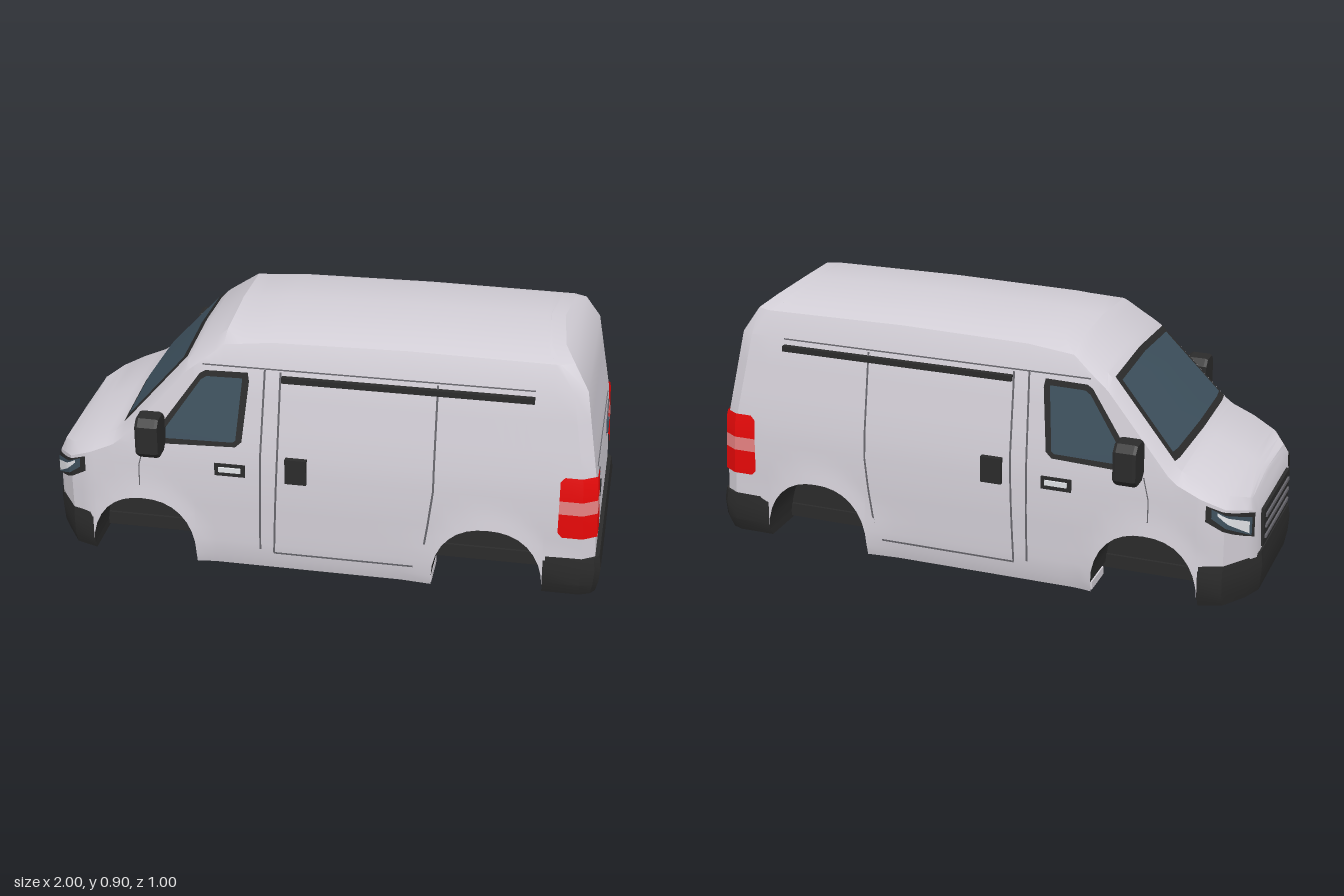
import * as THREE from 'three';
import { mergeGeometries, toCreasedNormals } from 'three/addons/utils/BufferGeometryUtils.js';

const mat = (name, color) => new THREE.MeshStandardMaterial({ name, color, side: THREE.DoubleSide });

// Piecewise-linear curve through [input, output] pairs
const curve = (pts) => (t) => {
  if (t <= pts[0][0]) return pts[0][1];
  for (let i = 1; i < pts.length; i++) {
    const [a, b] = pts[i - 1], [c, d] = pts[i];
    if (t <= c) return b + (d - b) * (t - a) / (c - a);
  }
  return pts[pts.length - 1][1];
};
const clamp = THREE.MathUtils.clamp, lerp = THREE.MathUtils.lerp;

// Body rules: half width by height, roof line, nose and tail outlines, nose taper
const halfWidth = curve([[0, .385], [.04, .396], [.1, .4], [.28, .402], [.38, .398], [.46, .392], [.77, .335], [.86, .3]]);
const roofLine = curve([[-1, .37], [-.955, .395], [-.72, .5], [-.47, .78], [-.34, .88], [-.17, .897], [.3, .905], [.8, .9]]);
const noseX = curve([[.17, -.988], [.32, -.98], [.385, -.955], [.42, -.9], [.5, -1]]);
const tailX = curve([[0, .985], [.17, .978], [.46, .965], [.77, .915], [.86, .86], [.905, .8]]);
const taper = curve([[-1, .5], [-.97, .68], [-.9, .93], [-.82, 1]]);
const crownWidth = curve([[-.47, .86], [-.2, .73]]);
const arches = [{ x: -.63, r: .19 }, { x: .605, r: .195 }];
const archY = (u) => .04 + .21 * Math.pow(Math.max(0, 1 - Math.abs(u) ** 2.3), 1 / 2.1);

// Surface from rows of [x, y, z] points
function grid(rows) {
  const n = rows[0].length, index = [];
  for (let i = 0; i < rows.length - 1; i++) for (let j = 0; j < n - 1; j++) {
    const a = i * n + j, b = a + n;
    index.push(a, b, a + 1, b, b + 1, a + 1);
  }
  const g = new THREE.BufferGeometry();
  g.setAttribute('position', new THREE.Float32BufferAttribute(rows.flat(2), 3));
  g.setIndex(index);
  return toCreasedNormals(g, .45);
}
const flip = ([x, y, z]) => [x, y, -z];
// Mirrored skin through half sections, closed at both ends
function shell(halves) {
  const skin = grid(halves.map((h) => [...h, ...h.slice(0, -1).reverse().map(flip)]));
  const caps = [halves[0], halves[halves.length - 1]].map((h) => grid(h.map((p) => [p, flip(p)])));
  return mergeGeometries([skin, ...caps]);
}

export function createModel() {
  const van = new THREE.Group();
  van.name = 'van';
  const paint = mat('bodyPaint', 0xd2ced6), black = mat('blackTrim', 0x2b2b2b), glass = mat('tintedGlass', 0x3d505d);
  const red = mat('redLens', 0xe60808), pale = mat('paleLens', 0xe48080), seam = mat('seamGrey', 0x66656b);
  const lamp = mat('lampSilver', 0xe4e6ea);
  const add = (name, geo, m) => {
    const mesh = new THREE.Mesh(geo, m);
    mesh.name = name;
    van.add(mesh);
    return mesh;
  };
  const box = (name, m, w, h, d, x, y, z) => add(name, new THREE.BoxGeometry(w, h, d), m).position.set(x, y, z);
  const sides = [['left', 1], ['right', -1]];

  // Body skin
  const levels = [0, .04, .1, .15, .2, .24, .28, .33, .38, .46, .56, .66, .77, .86];
  const section = (s, low, tail = null, narrow = 1) => {
    const top = roofLine(s), shoulder = top - .045, k = taper(s) * narrow;
    const place = (y, z) => [tail !== null ? tailX(y) - tail : Math.min(Math.max(s, s < -.85 ? noseX(y) : s), tailX(y) - .05), y, z];
    const half = levels.map((l) => {
      const y = Math.max(low, Math.min(l, shoulder));
      let flare = 0;
      for (const a of arches) {
        const d = Math.hypot((s - a.x) / a.r, (y - .04) / .21);
        flare = Math.max(flare, .01 * clamp(1 - (d - 1) / .3, 0, 1));
      }
      return place(y, (halfWidth(y) + (tail === null ? flare : 0)) * k);
    });
    const w = halfWidth(shoulder) * k;
    half.push(place(top - .015, w * crownWidth(s)), place(top, 0));
    return half;
  };
  const stations = [];
  for (const s of [-1, -.985, -.97, -.955, -.93, -.9, -.86, -.82]) stations.push(section(s, .15));
  const addArch = (a) => {
    for (let i = 0; i <= 16; i++) {
      const u = -Math.cos(Math.PI * i / 16);
      stations.push(section(a.x + u * a.r, archY(u)));
    }
  };
  addArch(arches[0]);
  for (const s of [-.44, -.4, -.37, -.34, -.28, -.22, -.17, 0, .2, .3, .41]) stations.push(section(s, 0));
  addArch(arches[1]);
  stations.push(section(.8, .15), section(.9, .15, .045), section(.9, .15, 0, .93));
  add('bodyShell', shell(stations), paint);

  // Bumpers
  const bumperHalf = (x, k, bulge) => {
    const w = (y) => (halfWidth(y) + .008) * k;
    return [[x + bulge * .6, .01, 0], [x + bulge * .6, .01, w(.01) - .012], [x + bulge * .2, .06, w(.06)],
      [x, .12, w(.12)], [x + bulge * .3, .166, w(.166) - .004], [x + bulge * .3, .168, 0]];
  };
  add('frontBumper', shell([-1, -.97, -.9, -.82].map((s) => bumperHalf(s, taper(s) * (s < -.95 ? 1.04 : 1), s < -.95 ? .02 : 0))), black);
  add('rearBumper', shell([[.8, 1, 0], [.93, 1, 0], [.98, .96, -.02], [1, .9, -.025]].map((p) => bumperHalf(...p))), black);

  // Floor and sills
  box('floor', black, 1.75, .05, .46, 0, .045, 0);
  box('middleFloor', black, .85, .04, .74, -.015, .06, 0);
  for (const [side, k] of sides) box(side + 'Sill', paint, .85, .03, .13, -.015, .016, k * .317);

  // Wheel wells
  for (const [side, k] of sides) arches.forEach((a, i) => {
    const rim = [];
    for (let j = 0; j <= 16; j++) {
      const u = -Math.cos(Math.PI * j / 16);
      rim.push([a.x + u * a.r, archY(u)]);
    }
    const name = side + (i ? 'Rear' : 'Front') + 'WheelWell';
    add(name, mergeGeometries([
      grid(rim.map(([x, y]) => [[x, y, k * (halfWidth(y) + .009)], [x, y, k * .22]])),
      grid(rim.map(([x, y]) => [[x, y, k * .22], [x, .02, k * .22]])),
    ]), black);
  });

  // Flat plates following the side wall
  const sidePlate = (name, m, pts, off) => {
    for (const [side, k] of sides) {
      const g = new THREE.ShapeGeometry(new THREE.Shape(pts.map((p) => new THREE.Vector2(...p))));
      const p = g.attributes.position;
      for (let i = 0; i < p.count; i++) p.setZ(i, k * (halfWidth(p.getY(i)) + off));
      g.computeVertexNormals();
      add(side + name, g, m);
    }
  };
  const sideBox = (name, m, x, y, w, h, d) => {
    for (const [side, k] of sides) box(side + name, m, w, h, d, x, y, k * (halfWidth(y) + d / 2 - .008));
  };
  sidePlate('WindowFrame', black, [[-.575, .47], [-.565, .53], [-.42, .735], [-.4, .747], [-.25, .75], [-.245, .72], [-.268, .5], [-.29, .48]], .004);
  sidePlate('WindowGlass', glass, [[-.552, .493], [-.545, .525], [-.415, .715], [-.395, .728], [-.268, .73], [-.289, .505], [-.3, .498]], .008);

  // Door seams as narrow ribbons
  const seamLine = (name, pts, w = .007) => {
    for (const [side, k] of sides) add(side + name, mergeGeometries(pts.slice(1).map((b, i) => {
      const a = pts[i], l = Math.hypot(b[0] - a[0], b[1] - a[1]);
      const nx = -(b[1] - a[1]) / l * w / 2, ny = (b[0] - a[0]) / l * w / 2;
      const at = (x, y) => [x, y, k * (halfWidth(y) + .004)];
      return grid([0, .25, .5, .75, 1].map((t) => {
        const x = lerp(a[0], b[0], t), y = lerp(a[1], b[1], t);
        return [at(x + nx, y + ny), at(x - nx, y - ny)];
      }));
    })), seam);
  };
  seamLine('SlidingDoorSeam', [[-.135, .76], [-.14, .46], [-.155, .07], [.37, .07], [.395, .25], [.41, .38], [.41, .76]]);
  seamLine('FrontDoorSeam', [[-.19, .765], [-.2, .46], [-.205, .08]]);
  seamLine('RoofGutter', [[-.41, .768], [-.16, .768], [.74, .768]], .005);
  seamLine('FenderSeam', [[-.62, .46], [-.64, .38], [-.64, .3]], .004);

  // Slide rail, handles
  sideBox('SlideRail', black, .305, .737, .87, .02, .026);
  sideBox('DoorHandleRecess', black, -.31, .39, .11, .046, .013);
  sideBox('DoorHandleGrip', lamp, -.31, .393, .08, .018, .02);
  sideBox('SlidingDoorHandle', black, -.073, .41, .076, .095, .024);

  // Wing mirrors
  const c = .022;
  const outline = [[.395, .46 + c], [.395 + c, .46], [.495 - c, .46], [.495, .46 + c], [.495, .603 - c], [.495 - c, .603], [.395 + c, .603], [.395, .603 - c]];
  for (const [side, k] of sides) {
    const shape = new THREE.Shape(outline.map(([z, y]) => new THREE.Vector2(-k * z, y)));
    const g = new THREE.ExtrudeGeometry(shape, { depth: .06, bevelEnabled: true, bevelSize: .004, bevelThickness: .01, bevelSegments: 1 });
    g.rotateY(Math.PI / 2).translate(-.61, 0, 0);
    add(side + 'Mirror', g, black);
    box(side + 'MirrorArm', black, .05, .05, .06, -.565, .51, k * .39);
  }

  // Windscreen
  const screen = (x0, x1, w0, w1, off) => grid([0, .25, .5, .75, 1].map((t) => {
    const x = lerp(x0, x1, t), e = lerp(w0, w1, t);
    return [-1, -.85, 0, .85, 1].map((q) => [x - off * .75 + Math.abs(q) ** 3 * (1 - t) * .012,
      roofLine(x + Math.abs(q) ** 3 * (1 - t) * .012) - .015 * Math.abs(q) + off * .67, q * e]);
  }));
  add('windscreenFrame', screen(-.716, -.474, .328, .282, .006), black);
  add('windscreen', screen(-.698, -.49, .305, .264, .011), glass);

  // Headlights wrapped round the nose corners
  for (const [side, k] of sides) [['Surround', black, 0, .006], ['Glass', glass, .013, .01], ['Lamp', lamp, .026, .014]].forEach(([n, m, inset, off]) => {
    add(side + 'Headlight' + n, grid([0, .2, .4, .6, .8, 1].map((t) => {
      const s = lerp(-.975 + inset * .6, -.835 - inset * 1.3, t);
      const low = lerp(.245, .335, t) + inset, high = lerp(.335, .392, t) - inset * .8;
      return [low, high].map((y) => [Math.max(s, noseX(y)) - off * .7, y, k * (halfWidth(y) * taper(s) + off)]);
    })), m);
  });

  // Grille
  box('grille', black, .012, .14, .38, -.988, .245, 0);
  for (let i = 0; i < 3; i++) box('grilleSlat', seam, .008, .012, .34, -.996, .205 + i * .04, 0);

  // Tail lights wrapped round the rear corners
  const lens = (k, ys) => grid(ys.map((y) => {
    const trim = y < .26 || y > .47 ? .015 : 0, r = tailX(y), w = halfWidth(y);
    return [[.845 + trim, y, k * (w + .007)], [r - .043, y, k * (w + .007)],
      [r + .006, y, k * (w * .93 + .005)], [r + .007, y, k * (.295 + trim)]];
  }));
  for (const [side, k] of sides) {
    add(side + 'TailLightLower', lens(k, [.25, .268, .34]), red);
    add(side + 'TailLightBand', lens(k, [.34, .39]), pale);
    add(side + 'TailLightUpper', lens(k, [.39, .46, .462, .478]), red);
    box(side + 'RearLatch', k > 0 ? black : glass, .012, .05, .036, tailX(.365) + .002, .365, k * .237);
    box(side + 'RearSeam', seam, .005, .2, .003, tailX(.36), .36, k * .26);
  }
  box('tailgateSeam', seam, .006, .004, .58, tailX(.478), .478, 0);
  return van;
}
